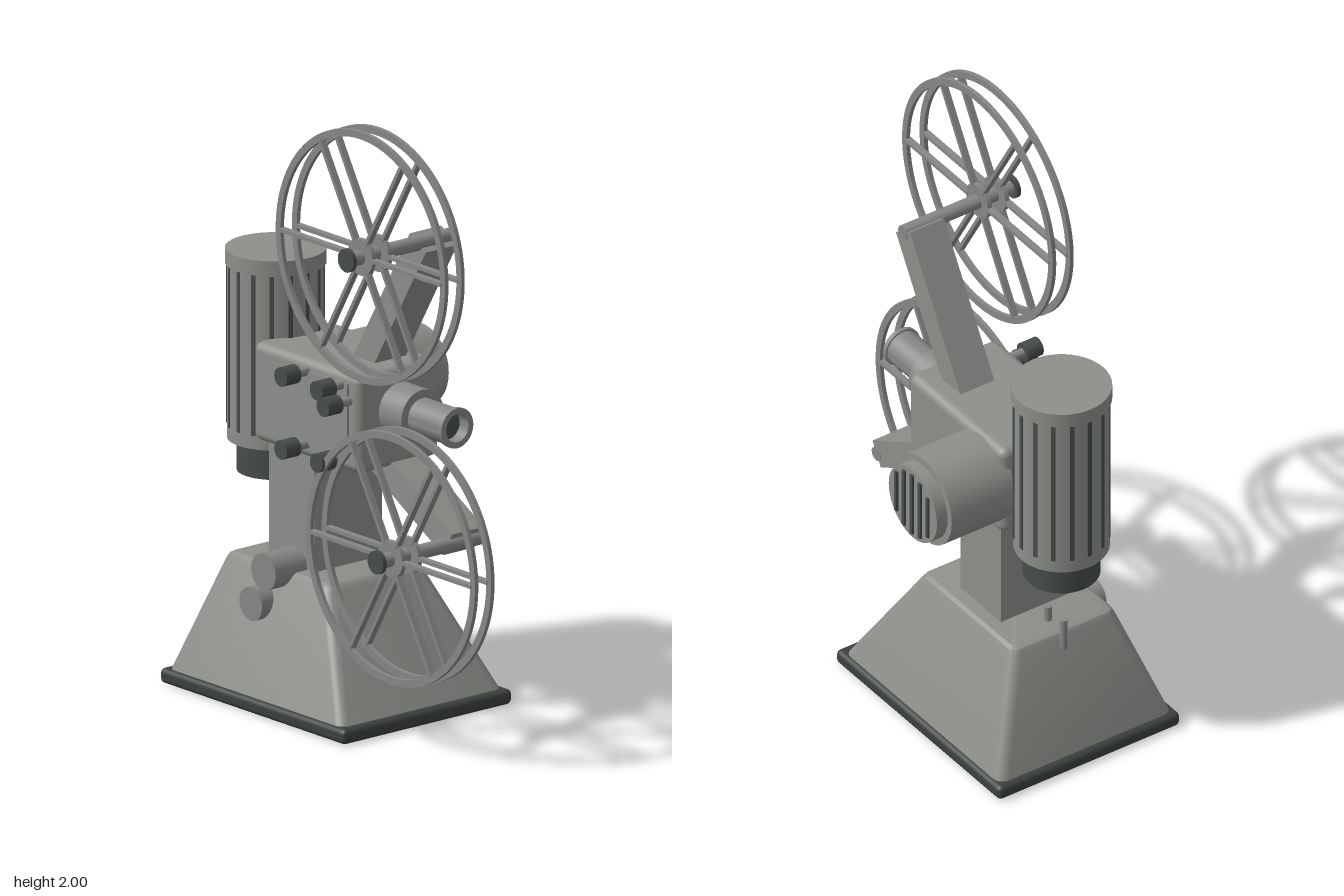
import * as THREE from 'three';
import { toCreasedNormals } from 'three/addons/utils/BufferGeometryUtils.js';
import { RoundedBoxGeometry } from 'three/addons/geometries/RoundedBoxGeometry.js';

const paint = (name, color) => {
  const m = new THREE.MeshStandardMaterial({ color });
  m.name = name;
  return m;
};

export function createModel() {
  const body = paint('grey enamel', 0x8c8f8a);
  const metal = paint('satin metal', 0x868886);
  const dark = paint('dark trim', 0x474c4b);
  const rubber = paint('dark rubber', 0x3b403e);
  const model = new THREE.Group();

  const add = (name, geo, mat, x = 0, y = 0, z = 0, parent = model) => {
    const mesh = new THREE.Mesh(geo, mat);
    mesh.name = name;
    mesh.position.set(x, y, z);
    parent.add(mesh);
    return mesh;
  };
  const box = (w, h, d, r = 0) => r ? new RoundedBoxGeometry(w, h, d, 3, r) : new THREE.BoxGeometry(w, h, d);
  // Cylinder from a to b along one axis, centred on the other two
  const rod = (name, mat, axis, r, a, b, x, y, z, parent) => {
    const geo = new THREE.CylinderGeometry(r, r, b - a, 40);
    const p = { x, y, z };
    p[axis] = (a + b) / 2;
    if (axis === 'z') geo.rotateX(Math.PI / 2);
    if (axis === 'x') geo.rotateZ(-Math.PI / 2);
    return add(name, geo, mat, p.x, p.y, p.z, parent);
  };

  // Loft through rounded rectangles: [y, x0, x1, z0, z1, corner radius]
  const loft = (levels) => {
    const pos = [], idx = [], seg = 6, n = 4 * (seg + 1);
    for (const [y, x0, x1, z0, z1, r] of levels) {
      const corners = [[x1 - r, z1 - r], [x0 + r, z1 - r], [x0 + r, z0 + r], [x1 - r, z0 + r]];
      corners.forEach(([cx, cz], c) => {
        for (let i = 0; i <= seg; i++) {
          const a = (c + i / seg) * Math.PI / 2;
          pos.push(cx + r * Math.cos(a), y, cz + r * Math.sin(a));
        }
      });
    }
    for (let l = 0; l < levels.length - 1; l++) {
      for (let i = 0; i < n; i++) {
        const a = l * n + i, b = l * n + (i + 1) % n;
        idx.push(a, a + n, b, b, a + n, b + n);
      }
    }
    const top = (levels.length - 1) * n;
    for (let i = 1; i < n - 1; i++) idx.push(top, top + i + 1, top + i, 0, i, i + 1);
    const geo = new THREE.BufferGeometry();
    geo.setAttribute('position', new THREE.Float32BufferAttribute(pos, 3));
    geo.setIndex(idx);
    return toCreasedNormals(geo, 0.5);
  };

  // Foot, sloping pedestal and column
  add('basePlate', box(0.9, 0.05, 0.7, 0.018), rubber, -0.27, 0.025, 0.04);
  add('pedestal', loft([
    [0.045, -0.7, 0.155, -0.295, 0.375, 0.035],
    [0.415, -0.583, -0.06, -0.163, 0.247, 0.035],
    [0.432, -0.573, -0.072, -0.155, 0.238, 0.03],
    [0.44, -0.558, -0.088, -0.142, 0.225, 0.02],
  ]), body);
  add('column', box(0.22, 0.42, 0.28), body, -0.32, 0.63, 0.04);
  rod('upperDial', metal, 'z', 0.06, 0.15, 0.31, -0.305, 0.445, 0);
  rod('lowerDial', metal, 'z', 0.055, 0.22, 0.32, -0.355, 0.33, 0);
  for (const x of [-0.588, -0.503]) rod('switchPin', metal, 'y', 0.012, 0.38, 0.492, x, 0, 0.03);

  // Head with film gate door and rollers
  add('head', box(0.52, 0.325, 0.34, 0.03), body, -0.22, 0.983, 0.04);
  add('gateDoor', box(0.205, 0.245, 0.012), body, -0.11, 0.99, 0.212);
  for (const [x, y] of [[-0.21, 1.11], [-0.037, 1.105], [-0.005, 1.058], [-0.21, 0.87], [-0.037, 0.867]]) {
    rod('rollerShaft', metal, 'z', 0.015, 0.2, 0.27, x, y, 0);
    rod('roller', dark, 'z', 0.031, 0.26, 0.32, x, y, 0);
  }

  // Lens: stepped tube with a recessed dark glass
  const lensProfile = [[0, 0], [0.087, 0], [0.087, 0.125], [0.06, 0.125], [0.06, 0.28], [0.066, 0.28],
    [0.066, 0.295], [0.046, 0.295], [0.046, 0.25]].map(([r, h]) => new THREE.Vector2(r, h));
  const lensGeo = toCreasedNormals(new THREE.LatheGeometry(lensProfile, 40), 0.5);
  add('lensBarrel', lensGeo.rotateZ(-Math.PI / 2), metal, 0.025, 1.01, 0.04);
  rod('lensGlass', dark, 'x', 0.046, 0.26, 0.277, 0, 1.01, 0.04);

  // Lamp house with vertical vent strips
  const lamp = new THREE.Group();
  lamp.name = 'lampHouse';
  lamp.position.set(-0.567, 0, 0.037);
  model.add(lamp);
  rod('lampSocket', dark, 'y', 0.123, 0.67, 0.79, 0, 0, 0, lamp);
  rod('lampBody', body, 'y', 0.153, 0.775, 1.36, 0, 0, 0, lamp);
  rod('lampCap', body, 'y', 0.16, 1.35, 1.4, 0, 0, 0, lamp);
  for (let i = 0; i < 16; i++) {
    const a = i * Math.PI / 8;
    add('lampVent', box(0.014, 0.53, 0.01), dark, 0.151 * Math.sin(a), 1.085, 0.151 * Math.cos(a), lamp).rotation.y = a;
  }

  // Motor behind the head, with a slatted end
  rod('motorBody', body, 'z', 0.155, -0.345, -0.1, -0.355, 0.983, 0);
  rod('motorEnd', body, 'z', 0.132, -0.386, -0.34, -0.355, 0.983, 0);
  for (let i = -2; i <= 2; i++) {
    const h = 2 * Math.sqrt(0.115 ** 2 - (i * 0.043) ** 2);
    add('motorVent', box(0.013, h, 0.012), dark, -0.355 + i * 0.043, 0.983, -0.388);
  }

  // Reel arms, each with spindle and an open two-sided reel
  const rimShape = new THREE.Shape().absarc(0, 0, 0.412, 0, Math.PI * 2);
  rimShape.holes.push(new THREE.Path().absarc(0, 0, 0.388, 0, Math.PI * 2, true));
  const rimGeo = toCreasedNormals(new THREE.ExtrudeGeometry(rimShape,
    { depth: 0.014, bevelEnabled: false, curveSegments: 64 }).translate(0, 0, -0.007), 0.5);

  const reelArm = (name, x0, y0, x1, y1) => {
    const g = new THREE.Group();
    g.name = name;
    g.position.set(x1, y1, 0);
    model.add(g);
    const dx = x1 - x0, dy = y1 - y0;
    const arm = add('arm', box(Math.hypot(dx, dy), 0.09, 0.13), body, -dx / 2, -dy / 2, 0.007, g);
    arm.rotation.z = Math.atan2(dy, dx);
    rod('spindle', metal, 'z', 0.024, -0.06, 0.36, 0, 0, 0, g);
    rod('spindleCap', dark, 'z', 0.038, 0.355, 0.37, 0, 0, 0, g);
    for (const z of [0.235, 0.302]) {
      add('reelRim', rimGeo, metal, 0, 0, z, g);
      rod('reelHub', metal, 'z', 0.06, z - 0.008, z + 0.008, 0, 0, 0, g);
      for (let i = 0; i < 6; i++) {
        const a = i * Math.PI / 3;
        add('reelSpoke', box(0.345, 0.012, 0.022), metal, 0.222 * Math.cos(a), 0.222 * Math.sin(a), z, g).rotation.z = a;
      }
    }
  };
  reelArm('upperReel', -0.13, 1.09, 0.165, 1.59);
  reelArm('lowerReel', -0.11, 0.87, 0.31, 0.63);

  return model;
}
